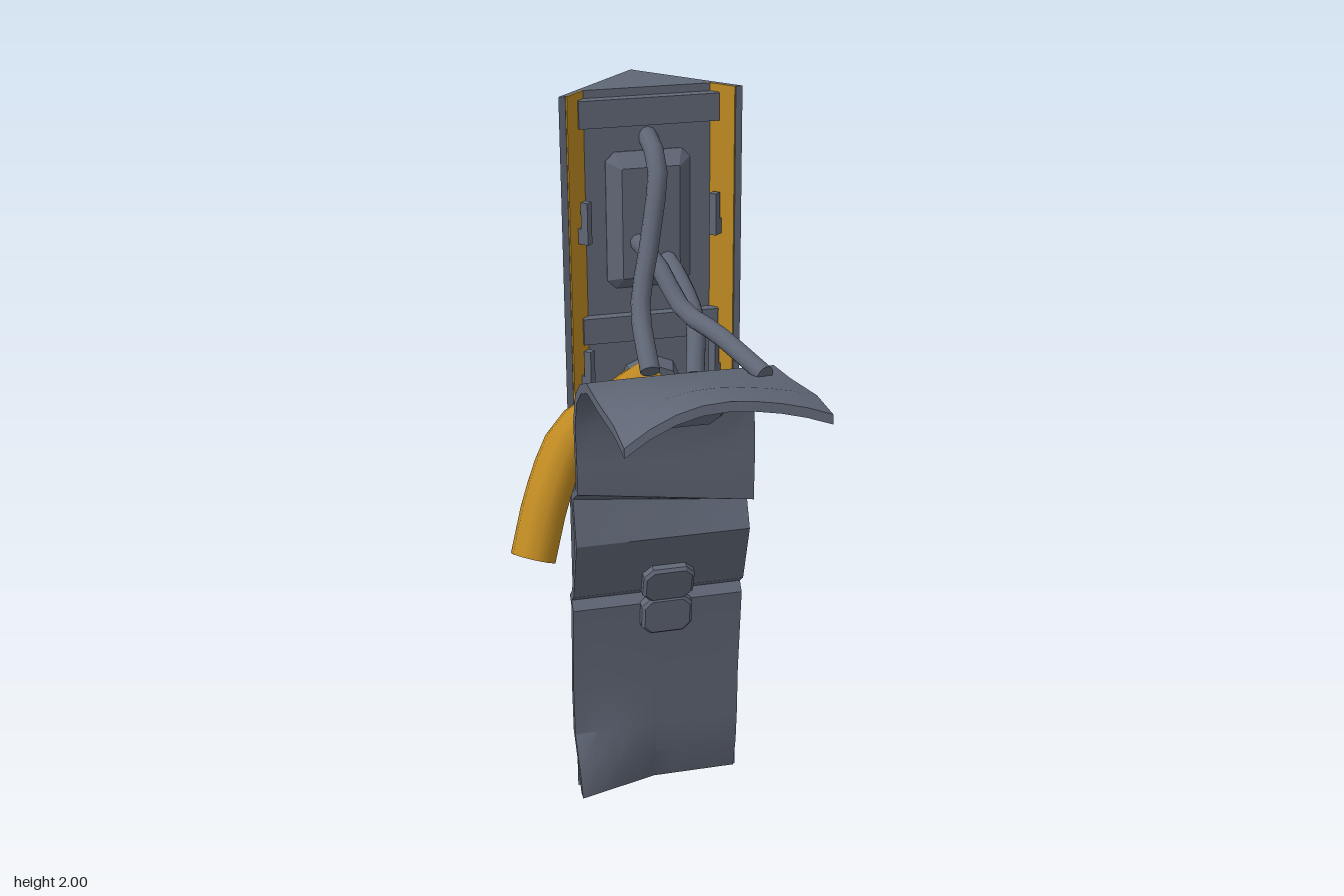
import * as THREE from 'three';
import { toCreasedNormals } from 'three/addons/utils/BufferGeometryUtils.js';

const grey = new THREE.MeshStandardMaterial({ color: 0x5f6675 });
grey.name = 'slate grey';
const yellow = new THREE.MeshStandardMaterial({ color: 0xbf8a22 });
yellow.name = 'warning yellow';

function add(parent, name, geometry, material, x = 0, y = 0, z = 0) {
  const mesh = new THREE.Mesh(geometry, material);
  mesh.name = name;
  mesh.position.set(x, y, z);
  parent.add(mesh);
  return mesh;
}

// Capped round hose through a few points
function hose(parent, name, points, radius, material) {
  const group = new THREE.Group();
  group.name = name;
  const curve = new THREE.CatmullRomCurve3(points.map((p) => new THREE.Vector3(...p)));
  add(group, name + 'Body', new THREE.TubeGeometry(curve, 10, radius, 10), material);
  for (const t of [0, 1]) {
    const p = curve.getPoint(t);
    const dir = curve.getTangent(t).multiplyScalar(t ? 1 : -1);
    const cap = add(group, name + 'End', new THREE.CircleGeometry(radius, 10), material, p.x, p.y, p.z);
    cap.quaternion.setFromUnitVectors(new THREE.Vector3(0, 0, 1), dir);
  }
  parent.add(group);
}

// Rectangle with cut corners, centred on the origin
function cutRect(w, h, c) {
  const a = w / 2, b = h / 2;
  return new THREE.Shape([
    [-a + c, -b], [a - c, -b], [a, -b + c], [a, b - c],
    [a - c, b], [-a + c, b], [-a, b - c], [-a, -b + c],
  ].map((p) => new THREE.Vector2(...p)));
}

function plate(w, h, cut, depth, bevel) {
  return new THREE.ExtrudeGeometry(cutRect(w, h, cut), {
    depth, bevelEnabled: true, bevelSize: bevel, bevelThickness: bevel, bevelSegments: 1,
  });
}

// Peeled cover: a thick sheet swept across its width, with local bends
function coverGeometry() {
  const profile = [
    [-0.37, 0], [-0.345, 0.1], [-0.335, 0.2], [-0.33, 0.35], [-0.3, 0.61], [-0.32, 0.635],
    [-0.288, 0.66], [-0.228, 0.84], [-0.26, 0.94], [-0.195, 0.975], [-0.19, 1.08], [-0.2, 1.2],
    [-0.17, 1.275], [-0.11, 1.325], [-0.03, 1.362], [0.1, 1.395], [0.3, 1.455], [0.415, 1.468],
  ];
  const n = profile.length, columns = 8, thick = 0.024;
  const inner = profile.map(([w, y], j) => {
    const a = profile[Math.max(0, j - 1)], b = profile[Math.min(n - 1, j + 1)];
    const len = Math.hypot(b[0] - a[0], b[1] - a[1]);
    return [w - (b[1] - a[1]) / len * thick, y + (b[0] - a[0]) / len * thick];
  });
  const ring = [...profile, ...inner.reverse()];
  const bend = (s, [w, y]) => {
    const curl = Math.max(0, -s) * Math.max(0, 1 - y / 0.22);
    const arch = Math.min(1, Math.max(0, (w + 0.05) / 0.45));
    const tilt = Math.max(0, 1 - Math.abs(y - 0.97) / 0.12);
    const drop = s < 0 ? 0.1 * s * s : 0.045 * s * s;
    return [0.237 * s - 0.01, y + 0.05 * curl - arch * drop - 0.035 * s * tilt,
      w + 0.14 * curl + 0.025 * s * arch];
  };
  const positions = [], index = [], m = ring.length;
  for (let i = 0; i <= columns; i++) {
    for (const p of ring) positions.push(...bend(i / columns * 2 - 1, p));
  }
  const quad = (a, b, c, d) => index.push(a, b, c, a, c, d);
  for (let i = 0; i < columns; i++) {
    for (let j = 0; j < m; j++) {
      const k = (j + 1) % m;
      quad(i * m + j, (i + 1) * m + j, (i + 1) * m + k, i * m + k);
    }
  }
  const end = columns * m;
  for (let j = 0; j < n - 1; j++) {
    quad(j, j + 1, m - 2 - j, m - 1 - j);
    quad(end + m - 1 - j, end + m - 2 - j, end + j + 1, end + j);
  }
  const geometry = new THREE.BufferGeometry();
  geometry.setAttribute('position', new THREE.Float32BufferAttribute(positions, 3));
  geometry.setIndex(index);
  return toCreasedNormals(geometry, 0.5);
}

export function createModel() {
  const model = new THREE.Group();
  model.name = 'cornerConduit';

  // Corner post with two projecting flanges
  const outline = [[-0.43, -0.43], [-0.1, -0.43], [-0.112, -0.418], [-0.18, -0.418],
    [-0.418, -0.18], [-0.418, -0.112], [-0.43, -0.1]];
  const postShape = new THREE.Shape(outline.map(([x, z]) => new THREE.Vector2(x, -z)));
  const postGeometry = new THREE.ExtrudeGeometry(postShape, { depth: 2, bevelEnabled: false });
  add(model, 'post', postGeometry.rotateX(-Math.PI / 2), grey);

  // Yellow liners inside the flanges
  add(model, 'leftLiner', new THREE.BoxGeometry(0.08, 2, 0.004), yellow, -0.153, 1, -0.416);
  add(model, 'rightLiner', new THREE.BoxGeometry(0.004, 2, 0.08), yellow, -0.416, 1, -0.153);

  // Small clips on the liners
  for (const y of [1.67, 1.27, 0.85]) {
    for (const side of [0, 1]) {
      const clip = new THREE.Group();
      clip.name = side ? 'leftClip' : 'rightClip';
      const at = (a, b) => (side ? [a, b] : [b, a]);
      for (const [len, h, a, b, dy] of [[0.02, 0.11, -0.158, -0.395, 0], [0.02, 0.04, -0.158, -0.41, -0.035]]) {
        const [x, z] = at(a, b);
        add(clip, 'clipPiece', new THREE.BoxGeometry(len, h, 0.02), grey, x, y + dy, z).rotation.y = side ? 0 : Math.PI / 2;
      }
      model.add(clip);
    }
  }

  // Everything facing the diagonal
  const front = new THREE.Group();
  front.name = 'diagonalFront';
  front.rotation.y = Math.PI / 4;
  model.add(front);

  for (const y of [1.945, 1.375, 0.78, 0.1]) {
    add(front, 'crossBand', new THREE.BoxGeometry(0.36, 0.07, 0.03), grey, 0, y, -0.41);
  }
  add(front, 'raisedPanel', plate(0.15, 0.29, 0.002, 0.01, 0.035), grey, 0, 1.66, -0.43);
  const collar = new THREE.CylinderGeometry(0.075, 0.09, 0.05, 8).rotateX(Math.PI / 2);
  add(front, 'pipeCollar', toCreasedNormals(collar, 0.5), grey, 0, 1.2, -0.4);
  add(front, 'cover', coverGeometry(), grey);

  // Latches on the cover
  const upper = add(front, 'upperLatch', plate(0.15, 0.13, 0.025, 0.025, 0.008), grey, 0.055, 1.245, -0.195);
  upper.rotation.x = 0.42;
  const latchTop = add(front, 'lowerLatchTop', plate(0.125, 0.1, 0.02, 0.025, 0.008), grey, 0.01, 0.69, -0.285);
  latchTop.rotation.x = 0.3;
  const latchBase = add(front, 'lowerLatchBase', plate(0.125, 0.1, 0.02, 0.025, 0.008), grey, 0.01, 0.58, -0.308);
  latchBase.rotation.x = 0.12;

  // Thick pipe leaving on the right side
  hose(model, 'pipe', [[-0.29, 1.22, -0.29], [-0.32, 1.19, -0.18], [-0.385, 1.13, -0.06],
    [-0.4, 1, 0.04], [-0.4, 0.84, 0.12]], 0.06, yellow);

  // Thin cables between the post and the cover
  hose(model, 'longCable', [[-0.31, 1.88, -0.31], [-0.24, 1.82, -0.25], [-0.22, 1.65, -0.18],
    [-0.2, 1.5, -0.1], [-0.11, 1.38, 0]], 0.025, grey);
  hose(model, 'shortCable', [[-0.27, 1.57, -0.32], [-0.2, 1.53, -0.28], [-0.12, 1.45, -0.23],
    [-0.07, 1.33, -0.15]], 0.024, grey);
  hose(model, 'outerCable', [[-0.32, 1.62, -0.26], [-0.23, 1.57, -0.23], [-0.13, 1.48, -0.19],
    [0, 1.455, -0.14], [0.18, 1.41, -0.06]], 0.024, grey);

  return model;
}
